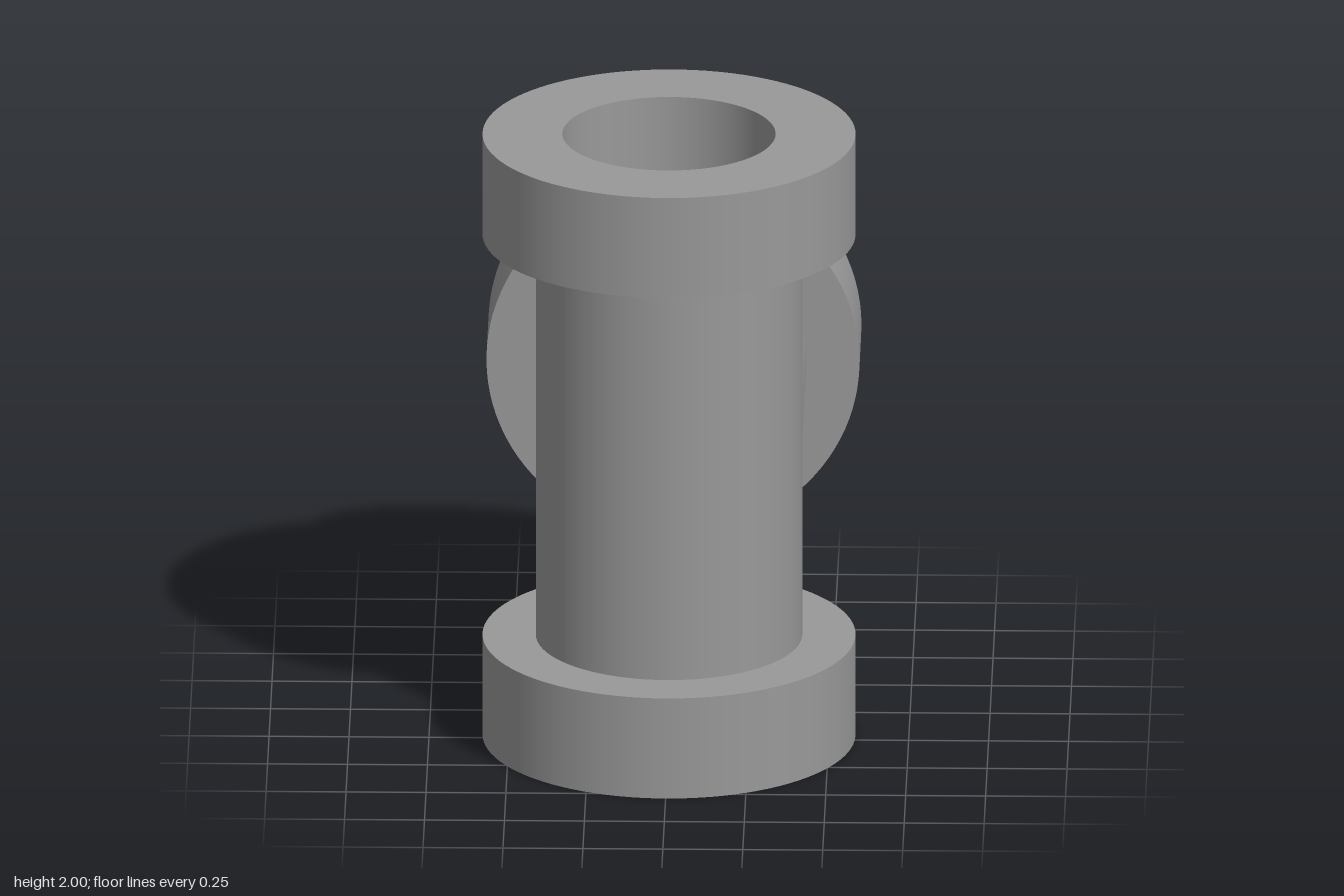
import * as THREE from 'three';
import { mergeGeometries } from 'three/addons/utils/BufferGeometryUtils.js';

const UNIT = 1 / 12;
const PIPE_R = 5 * UNIT, BORE_R = 4 * UNIT, FLANGE_R = 7 * UNIT;
const FLANGE_START = 8 * UNIT, ARM_LENGTH = 1;
const SEGMENTS = 96;

// One flanged, hollow arm along +y. Its inner end (y = 0) is trimmed by
// seam(z), so the equal-radius arms meet along mitred curves.
function armGeometry(seam) {
  const profile = [
    [PIPE_R, 0], [PIPE_R, FLANGE_START],
    [FLANGE_R, FLANGE_START], [FLANGE_R, ARM_LENGTH],
    [BORE_R, ARM_LENGTH], [BORE_R, 0],
  ].map(([r, y]) => new THREE.Vector2(r, y));

  // A separate lathe for each profile segment keeps the rims sharp
  const bands = [];
  for (let i = 0; i < profile.length - 1; i++) {
    const band = new THREE.LatheGeometry([profile[i], profile[i + 1]], SEGMENTS);
    const pos = band.attributes.position;
    for (let v = 0; v < pos.count; v++) {
      if (pos.getY(v) === 0) pos.setY(v, seam(pos.getZ(v)));
    }
    bands.push(band);
  }
  return mergeGeometries(bands);
}

export function createModel() {
  const model = new THREE.Group();
  model.name = 'teePipeFitting';
  const grey = new THREE.MeshStandardMaterial({ color: 0x999999 });
  grey.name = 'grey';

  const runGeometry = armGeometry((z) => Math.max(0, -z));
  const branchGeometry = armGeometry((z) => Math.abs(z));

  const addArm = (name, geometry, rx, rz) => {
    const arm = new THREE.Mesh(geometry, grey);
    arm.name = name;
    arm.rotation.set(rx, 0, rz);
    arm.position.set(0, 1, 2.5 * UNIT);
    model.add(arm);
  };

  // Straight run, then the branch towards the back
  addArm('upperArm', runGeometry, 0, 0);
  addArm('lowerArm', runGeometry, 0, Math.PI);
  addArm('branchArm', branchGeometry, -Math.PI / 2, 0);
  return model;
}
